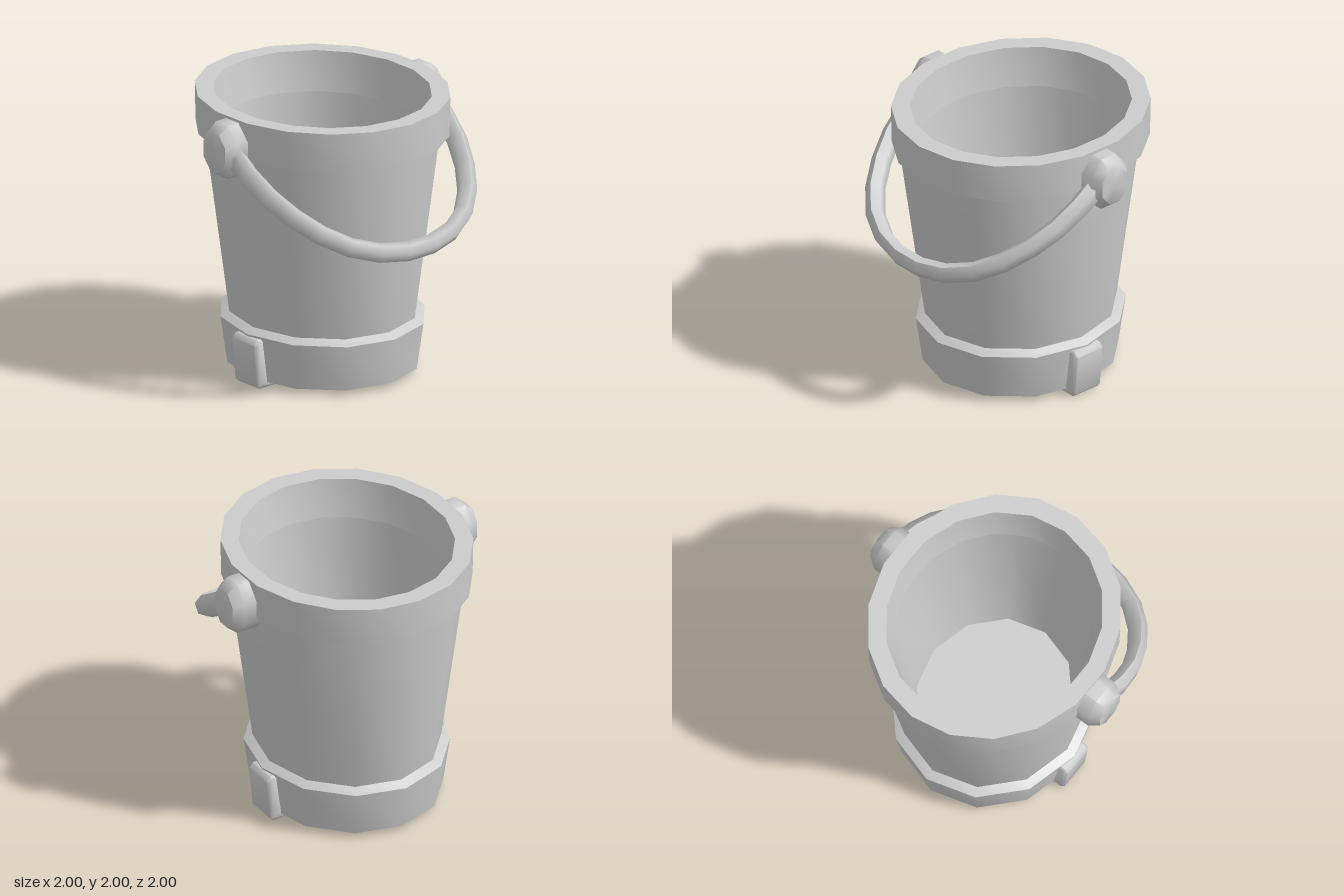
import * as THREE from 'three';
import { toCreasedNormals } from 'three/addons/utils/BufferGeometryUtils.js';

const AXIS_Z = -0.08; // the bucket axis sits behind the origin
const OVAL = 0.92;    // the bucket is a little narrower than deep

const material = new THREE.MeshStandardMaterial({ color: 0xcccccc });

function part(name, geometry, crease) {
  const mesh = new THREE.Mesh(crease ? toCreasedNormals(geometry, crease) : geometry, material);
  mesh.name = name;
  return mesh;
}

// Faceted oval solid turned from a [radius, height] profile
function turned(name, profile, sides) {
  const points = profile.map(([r, y]) => new THREE.Vector2(r, y));
  const geometry = new THREE.LatheGeometry(points, sides);
  geometry.scale(OVAL, 1, 1).translate(0, 0, AXIS_Z);
  return part(name, geometry, 0.6);
}

// Eight-sided knob with a bevelled outer face, on the +x side
function knobGeometry() {
  const profile = [[0, 0.76], [0.211, 0.76], [0.211, 0.93], [0.15, 1.0], [0, 1.0]];
  const geometry = new THREE.LatheGeometry(profile.map(([r, y]) => new THREE.Vector2(r, y)), 8, Math.PI / 8);
  geometry.rotateZ(-Math.PI / 2).scale(1, 1, 0.805);
  return geometry.translate(0, 1.785, -0.07);
}

// Bent bracket that wraps the lower edge of the band, on the +x side
function footGeometry() {
  const bevel = 0.015;
  const outline = [[0.47, 0.015], [0.67, 0.015], [0.685, 0.03], [0.712, 0.32], [0.69, 0.345],
    [0.63, 0.345], [0.59, 0.06], [0.455, 0.05]];
  const shape = new THREE.Shape(outline.map(([x, y]) => new THREE.Vector2(x, y)));
  const depth = 0.222;
  const geometry = new THREE.ExtrudeGeometry(shape, {
    depth, bevelEnabled: true, bevelSize: bevel, bevelThickness: bevel, bevelSegments: 1,
  });
  return geometry.translate(0, 0, AXIS_Z - depth / 2);
}

// Bail handle: half hoop, tilted forward and down from the knobs
function handleGeometry() {
  const half = [[0.9, -0.02], [0.9, 0.1], [0.88, 0.28], [0.77, 0.53], [0.59, 0.74], [0.36, 0.87]];
  const path = [...half, [0, 0.93], ...half.map(([x, z]) => [-x, z]).reverse()];
  const tilt = 0.614;
  const curve = new THREE.CatmullRomCurve3(
    path.map(([x, z]) => new THREE.Vector3(x, 0, z / Math.cos(tilt))));
  const geometry = new THREE.TubeGeometry(curve, 15, 0.068, 6);
  // slightly thicker towards the knobs
  const pos = geometry.attributes.position;
  for (let i = 0; i < pos.count; i++) {
    pos.setY(i, pos.getY(i) * (1.3 - 0.25 * pos.getZ(i)));
  }
  geometry.rotateX(tilt).translate(0, 1.77, 0);
  geometry.computeVertexNormals();
  return geometry;
}

export function createModel() {
  const model = new THREE.Group();
  model.name = 'bucket';

  // Base band, tapered wall and inside floor
  model.add(turned('body', [
    [0, 0.04], [0.705, 0.04], [0.755, 0.375], [0.69, 0.41], [0.87, 1.72], [0.87, 1.74],
    [0.765, 1.74], [0.57, 0.45], [0, 0.45],
  ], 12));

  // Thick rim
  model.add(turned('rim', [
    [0.918, 1.72], [0.924, 2], [0.79, 2], [0.735, 1.72], [0.918, 1.72],
  ], 18));

  model.add(part('handle', handleGeometry()));

  // Knobs and feet on both sides; a half turn about the part's own axis mirrors them
  for (const [side, turn] of [['left', 0], ['right', Math.PI]]) {
    const knob = part(side + 'Knob', knobGeometry().translate(0, 0, 0.07).rotateY(turn).translate(0, 0, -0.07), 0.9);
    const foot = part(side + 'Foot', footGeometry().translate(0, 0, -AXIS_Z).rotateY(turn).translate(0, 0, AXIS_Z), 0.9);
    model.add(knob, foot);
  }
  return model;
}
